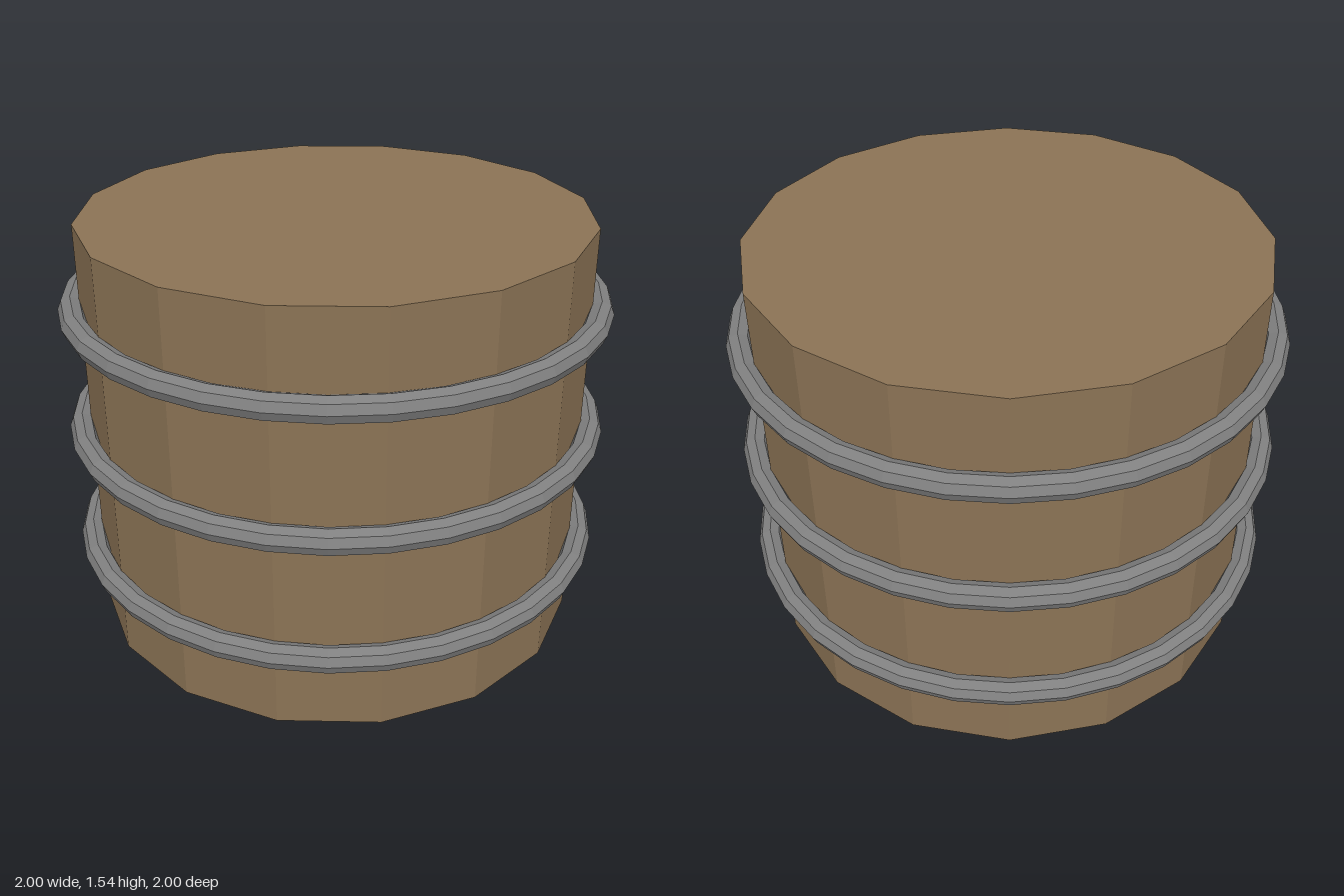
import * as THREE from 'three';

export function createModel() {
  const model = new THREE.Group();
  const height = 1.54;

  const wood = new THREE.MeshStandardMaterial({ color: 0x8b7355, flatShading: true });
  const metal = new THREE.MeshStandardMaterial({ color: 0x808080, flatShading: true });

  // Sixteen-sided wooden body
  const body = new THREE.Mesh(new THREE.CylinderGeometry(0.923, 0.923, height, 16), wood);
  body.name = 'barrelBody';
  body.position.y = height / 2;
  model.add(body);

  // Three evenly spaced metal hoops
  const hoopGeometry = new THREE.TorusGeometry(0.954, 0.046, 8, 32).rotateX(Math.PI / 2);
  [['lowerHoop', 0.2], ['middleHoop', 0.5], ['upperHoop', 0.8]].forEach(([name, level]) => {
    const hoop = new THREE.Mesh(hoopGeometry, metal);
    hoop.name = name;
    hoop.position.y = level * height;
    model.add(hoop);
  });

  return model;
}
